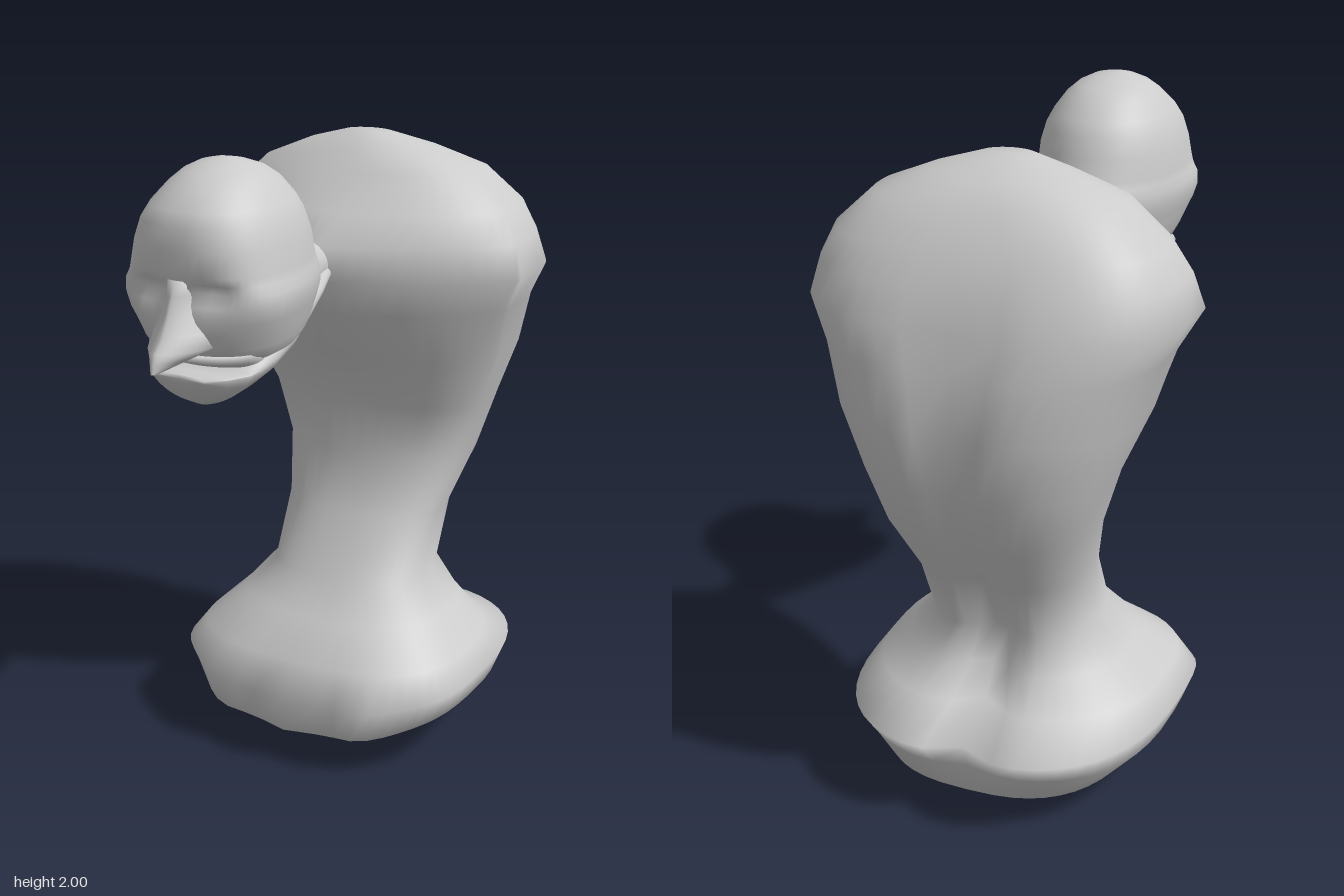
import * as THREE from 'three';

const SEG = 48;
const spow = (v, p) => Math.sign(v) * Math.pow(Math.abs(v), p);

// Skin a stack of horizontal rings, listed from bottom to top.
// Ring: [y, zFront, zBack, halfWidth, zWidest, frontExp, backExp, backGroove, frontDip]
// Small exponents give boxy outlines, large ones pointed outlines.
function loft(rings, adjust) {
  const pos = [], index = [];
  const add = ([y, zf, zb, w, zw = (zf + zb) / 2, fe = 1, be = 1, groove = 0, dip = 0]) => {
    for (let j = 0; j < SEG; j++) {
      const t = (j / SEG) * Math.PI * 2, s = Math.sin(t), c = Math.cos(t);
      const e = c > 0 ? fe : be;
      const p = new THREE.Vector3(w * spow(s, e), y, zw + (c > 0 ? zf - zw : zw - zb) * spow(c, e));
      if (c < 0) p.z += groove * Math.exp(-((p.x / 0.08) ** 2));
      if (c > 0) p.y -= dip * c * c;
      if (adjust) adjust(p);
      pos.push(p.x, p.y, p.z);
    }
  };
  const cap = ([y, zf, zb]) => add([y, (zf + zb) / 2, (zf + zb) / 2, 0]);
  cap(rings[0]);
  rings.forEach((ring) => add(ring));
  cap(rings[rings.length - 1]);
  for (let i = 0; i < rings.length + 1; i++) {
    for (let j = 0; j < SEG; j++) {
      const a = i * SEG + j, b = i * SEG + (j + 1) % SEG;
      index.push(a, b, b + SEG, a, b + SEG, a + SEG);
    }
  }
  const g = new THREE.BufferGeometry();
  g.setAttribute('position', new THREE.Float32BufferAttribute(pos, 3));
  g.setIndex(index);
  g.computeVertexNormals();
  return g;
}

// Same, but the rings run forward along z: [z, yBottom, yTop, halfWidth, yWidest, bottomExp]
const loftForward = (rings) =>
  loft(rings.map(([z, yb, yt, w, yw = (yb + yt) / 2, e = 1]) => [z, -yb, -yt, w, -yw, e])).rotateX(Math.PI / 2);

export function createModel() {
  const group = new THREE.Group();
  const material = new THREE.MeshStandardMaterial({ color: 0xcccccc, side: THREE.DoubleSide });
  const part = (name, geometry) => {
    const mesh = new THREE.Mesh(geometry, material);
    mesh.name = name;
    group.add(mesh);
  };

  // Hunched torso, rising from the flared hips to the broad shoulders
  part('torso', loft([
    [0.00, -0.24, -0.45, 0.12],
    [0.045, -0.02, -0.62, 0.29, -0.3, 0.85, 0.8],
    [0.11, 0.11, -0.73, 0.39, -0.25, 0.8, 0.75],
    [0.19, 0.145, -0.75, 0.47, -0.22, 0.75, 0.75, 0.03, 0.08],
    [0.27, 0.17, -0.81, 0.5, -0.2, 0.75, 0.75, 0.06, 0.05],
    [0.34, 0.12, -0.66, 0.45, -0.22, 0.75, 0.8, 0.08],
    [0.44, 0.00, -0.60, 0.35, -0.27, 0.8, 0.85, 0.08],
    [0.55, -0.09, -0.56, 0.26, -0.3, 0.85, 0.85, 0.07],
    [0.74, -0.20, -0.64, 0.265, -0.38, 0.9, 0.85, 0.05],
    [0.92, -0.28, -0.74, 0.315, -0.48, 0.85, 0.8, 0.04],
    [1.10, -0.26, -0.80, 0.37, -0.48, 0.85, 0.78, 0.04],
    [1.28, -0.15, -0.825, 0.445, -0.42, 1.0, 0.75, 0.03],
    [1.45, -0.03, -0.80, 0.495, -0.36, 1.35, 0.7, 0.03],
    [1.56, 0.015, -0.77, 0.555, -0.31, 1.5, 0.65, 0.02],
    [1.66, 0.015, -0.73, 0.525, -0.33, 1.45, 0.65],
    [1.75, -0.09, -0.68, 0.475, -0.38, 1.1, 0.65],
    [1.85, -0.19, -0.61, 0.365, -0.41, 0.85, 0.75],
    [1.91, -0.25, -0.52, 0.22, -0.4],
    [1.95, -0.31, -0.42, 0.08],
  ], (p) => {
    // uneven hem along the front of the hips
    if (p.y > 0.08 && p.y < 0.3 && p.z > -0.1) p.z += 0.012 * Math.cos(p.x * 24);
  }));

  // Neck reaching forward from the chest
  part('neck', loftForward([
    [-0.12, 1.55, 1.64, 0.05],
    [0.02, 1.54, 1.68, 0.07],
    [0.12, 1.50, 1.69, 0.085],
    [0.18, 1.48, 1.75, 0.12],
    [0.32, 1.45, 1.82, 0.175],
    [0.46, 1.44, 1.75, 0.2],
  ]));

  // Skull with sunken eyes and a brow ridge
  part('head', loft([
    [1.46, 0.61, 0.28, 0.165, 0.45, 0.85],
    [1.49, 0.655, 0.22, 0.19, 0.45, 0.85],
    [1.52, 0.675, 0.17, 0.205, 0.46, 0.85],
    [1.56, 0.685, 0.14, 0.22, 0.48, 0.85],
    [1.60, 0.69, 0.12, 0.235, 0.5, 0.8],
    [1.64, 0.69, 0.115, 0.247, 0.5, 0.75],
    [1.675, 0.695, 0.12, 0.245, 0.49, 0.72],
    [1.70, 0.695, 0.135, 0.235, 0.47, 0.72],
    [1.725, 0.70, 0.15, 0.23, 0.46, 0.75],
    [1.79, 0.70, 0.17, 0.222, 0.45, 0.8],
    [1.85, 0.69, 0.195, 0.205, 0.45, 0.85],
    [1.89, 0.67, 0.22, 0.183, 0.45, 0.9],
    [1.94, 0.62, 0.27, 0.145],
    [1.97, 0.57, 0.32, 0.11],
    [1.99, 0.52, 0.38, 0.068],
    [2.00, 0.47, 0.43, 0.025],
  ], (p) => {
    if (p.z < 0.45) return;
    const dx = (Math.abs(p.x) - 0.1) / 0.07, dy = (p.y - 1.675) / 0.03;
    p.z -= 0.04 * Math.exp(-dx * dx - dy * dy);
  }));

  // Hooked, pointed nose spreading into the cheeks
  part('nose', loft([
    [1.478, 0.812, 0.795, 0.008],
    [1.505, 0.808, 0.63, 0.055, 0.66, 1.2],
    [1.53, 0.797, 0.58, 0.1, 0.64, 1.35],
    [1.57, 0.76, 0.58, 0.095, 0.63, 1.35],
    [1.62, 0.735, 0.58, 0.065, 0.63, 1.3],
    [1.67, 0.715, 0.6, 0.045, 0.64, 1.2],
    [1.71, 0.702, 0.62, 0.04],
  ]));

  // Long jaw tapering to a chin, with tendons running back to the neck
  part('jaw', loftForward([
    [-0.02, 1.56, 1.62, 0.07],
    [0.10, 1.515, 1.61, 0.11],
    [0.25, 1.46, 1.60, 0.155, 1.54],
    [0.38, 1.41, 1.58, 0.19, 1.51, 1.1],
    [0.48, 1.37, 1.56, 0.19, 1.47, 1.2],
    [0.545, 1.345, 1.50, 0.18, 1.45, 1.3],
    [0.585, 1.333, 1.452, 0.165, 1.44, 1.3],
    [0.64, 1.36, 1.447, 0.13, 1.437, 1.2],
    [0.68, 1.42, 1.445, 0.08],
  ]));

  // Thin lip above the mouth
  part('upperLip', loft([
    [1.458, 0.62, 0.42, 0.155],
    [1.475, 0.66, 0.42, 0.172],
    [1.50, 0.68, 0.42, 0.17],
  ]));

  return group;
}
